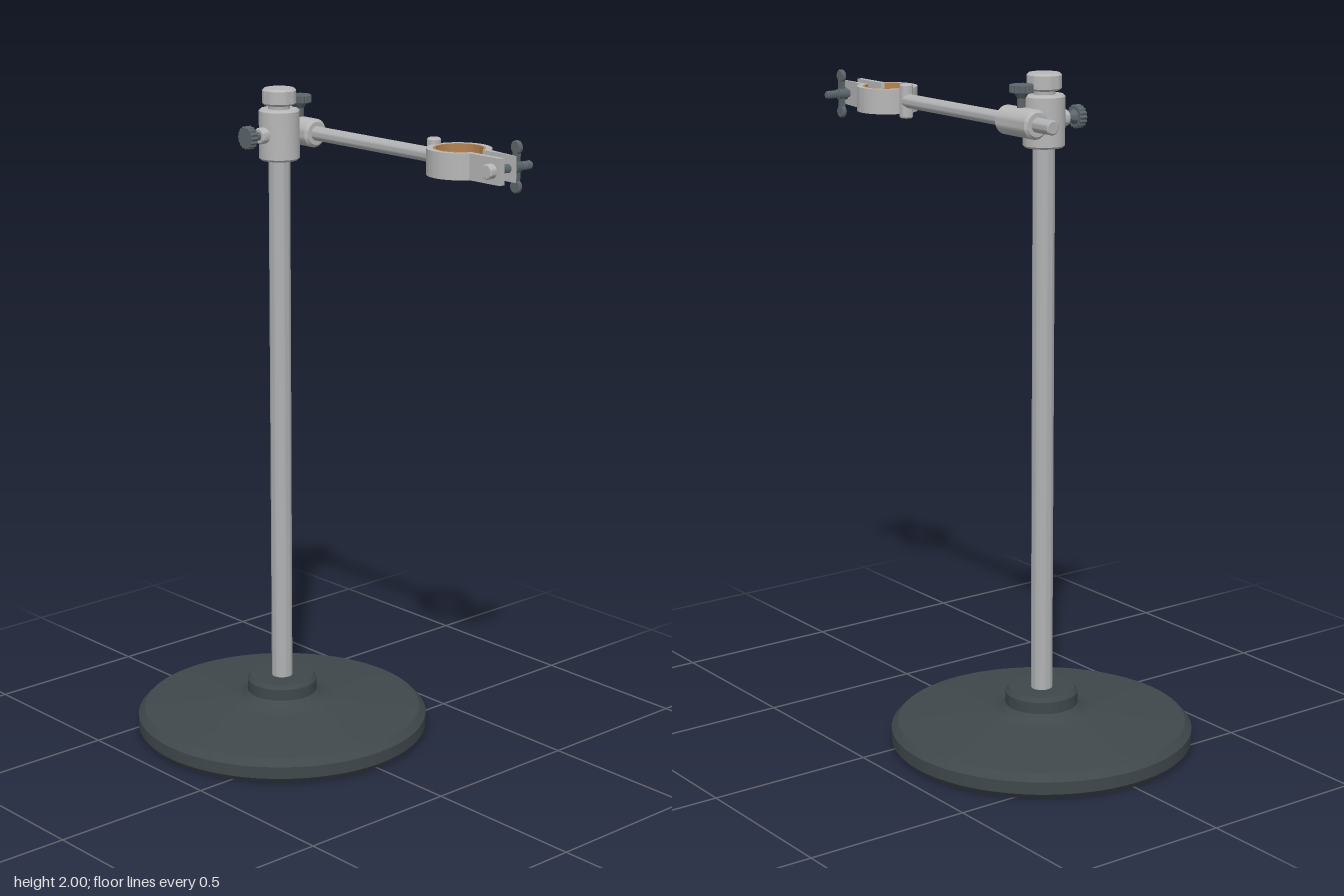
import * as THREE from 'three';
import { toCreasedNormals } from 'three/addons/utils/BufferGeometryUtils.js';

const material = (name, color) => Object.assign(new THREE.MeshStandardMaterial({ color }), { name });

export function createModel() {
  const model = new THREE.Group();
  model.name = 'clampStand';
  const iron = material('darkIron', 0x40484c);
  const steel = material('rodSteel', 0xb0b2b4);
  const cast = material('castMetal', 0xb8b8b8);
  const screwMetal = material('screwMetal', 0x5c666b);
  const cork = material('cork', 0xb58350);

  const POLE_X = -0.21, ARM_Y = 1.867, ARM_Z = -0.08;

  const add = (parent, name, geometry, mat, x = 0, y = 0, z = 0) => {
    const mesh = new THREE.Mesh(geometry, mat);
    mesh.name = name;
    mesh.position.set(x, y, z);
    parent.add(mesh);
    return mesh;
  };
  const group = (name, x, y, z) => {
    const g = new THREE.Group();
    g.name = name;
    g.position.set(x, y, z);
    model.add(g);
    return g;
  };
  // Revolved profile of [radius, height] pairs, listed from the bottom up
  const turned = (points, sides = 40) => toCreasedNormals(
    new THREE.LatheGeometry(points.map(p => new THREE.Vector2(...p)), sides), 0.5);
  // Solid cylinder between two heights with chamfered rims
  const pin = (r, y0, y1, c = 0.004, sides = 32) => turned(
    [[0, y0], [r - c, y0], [r, y0 + c], [r, y1 - c], [r - c, y1], [0, y1]], sides);

  // Round weighted base with its collar
  add(model, 'base', turned([
    [0, 0], [0.432, 0], [0.4475, 0.018], [0.4475, 0.055], [0.428, 0.076],
    [0.30, 0.088], [0.17, 0.1], [0.135, 0.106], [0.118, 0.116], [0.107, 0.127],
    [0.107, 0.162], [0.097, 0.174], [0.032, 0.174], [0, 0.174],
  ], 72), iron, POLE_X);

  // Upright pole and its end cap
  add(model, 'pole', pin(0.032, 0.16, 1.96), steel, POLE_X);
  add(model, 'poleCap', pin(0.05, 1.951, 2, 0.006), cast, POLE_X);

  // Boss head: a vertical sleeve joined to a horizontal one
  const boss = group('bossHead', POLE_X, ARM_Y, 0);
  add(boss, 'poleSleeve', pin(0.06, -0.077, 0.073, 0.006), cast);
  const sleeve = add(boss, 'armSleeve', pin(0.042, -0.075, 0.075, 0.008), cast, 0, 0, ARM_Z);
  sleeve.rotation.z = -Math.PI / 2;
  add(boss, 'screwStub', pin(0.024, 0.04, 0.08), cast).rotation.x = Math.PI / 2;

  // Thumbscrew with a fluted head, pointing up its own y axis
  const flutes = new THREE.Shape();
  for (let i = 0; i < 96; i++) {
    const a = (i / 96) * Math.PI * 2;
    const r = 0.0325 + 0.0018 * Math.cos(a * 16);
    flutes[i ? 'lineTo' : 'moveTo'](r * Math.cos(a), r * Math.sin(a));
  }
  const headGeometry = new THREE.ExtrudeGeometry(flutes, {
    depth: 0.02, bevelEnabled: true, bevelSize: 0.002, bevelThickness: 0.002,
    bevelOffset: -0.002, bevelSegments: 1,
  }).rotateX(-Math.PI / 2);
  const thumbscrew = (name, x, y, z) => {
    const g = group(name, x, y, z);
    add(g, 'screwHead', headGeometry, screwMetal, 0, 0.047, 0);
    add(g, 'screwNeck', turned([[0.012, 0], [0.012, 0.03], [0.022, 0.046]], 24), screwMetal);
    return g;
  };
  thumbscrew('poleThumbscrew', POLE_X, ARM_Y, 0.062).rotation.x = Math.PI / 2;
  thumbscrew('armThumbscrew', POLE_X, 1.904, ARM_Z);

  // Horizontal arm and the upright pin at its end
  add(model, 'arm', pin(0.021, -0.356, 0.356), steel, 0, ARM_Y, ARM_Z).rotation.z = -Math.PI / 2;
  add(model, 'armEndPin', pin(0.02, -0.052, 0.05), cast, 0.356, ARM_Y, ARM_Z);

  // Split ring clamp with two flat lugs
  const clamp = group('ringClamp', 0.456, ARM_Y - 0.003, ARM_Z);
  const flat = (shape, height) => toCreasedNormals(
    new THREE.ExtrudeGeometry(shape, { depth: height, bevelEnabled: false, curveSegments: 48 })
      .rotateX(-Math.PI / 2).translate(0, -height / 2, 0), 0.5);
  const R = 0.091, r = 0.072, lugOut = 0.041, lugIn = 0.023, lugEnd = 0.197;
  const outer = Math.asin(lugOut / R), inner = Math.asin(lugIn / r);
  const ring = new THREE.Shape();
  ring.moveTo(lugEnd, lugOut);
  ring.absarc(0, 0, R, outer, Math.PI * 2 - outer, false);
  ring.lineTo(lugEnd, -lugOut);
  ring.lineTo(lugEnd, -lugIn);
  ring.absarc(0, 0, r, Math.PI * 2 - inner, inner, true);
  ring.lineTo(lugEnd, lugIn);
  add(clamp, 'clampRing', flat(ring, 0.074), cast);

  // Cork lining inside the ring
  const lining = new THREE.Shape();
  const gap = 0.48;
  lining.absarc(0, 0, 0.073, gap, Math.PI * 2 - gap, false);
  lining.absarc(0, 0, 0.066, Math.PI * 2 - gap, gap, true);
  add(clamp, 'corkLining', flat(lining, 0.0745), cork);

  // Clamping bolt through the lugs, running along z
  const bolt = group('clampBolt', 0.623, ARM_Y - 0.003, 0);
  bolt.rotation.x = Math.PI / 2;
  add(bolt, 'boltHead', pin(0.021, -0.04, -0.015, 0.003), cast);
  const thread = [[0, -0.19], [0.009, -0.19]];
  for (let i = 0; i < 20; i++) {
    const y = -0.188 + i * 0.0075;
    thread.push([0.0095, y], [0.0125, y + 0.00375]);
  }
  thread.push([0.0095, -0.038]);
  add(bolt, 'boltThread', turned(thread, 20), screwMetal);

  // Wing nut: hub, web and two round ears
  add(bolt, 'nutHub', turned(
    [[0, -0.148], [0.015, -0.148], [0.019, -0.12], [0, -0.12]], 24), screwMetal);
  add(bolt, 'nutWeb', new THREE.BoxGeometry(0.018, 0.013, 0.1), screwMetal, 0, -0.134, 0);
  for (const side of [-1, 1]) {
    add(bolt, 'nutEar', pin(0.019, -0.141, -0.127, 0.003, 24), screwMetal, 0, 0, side * 0.054);
  }
  return model;
}
